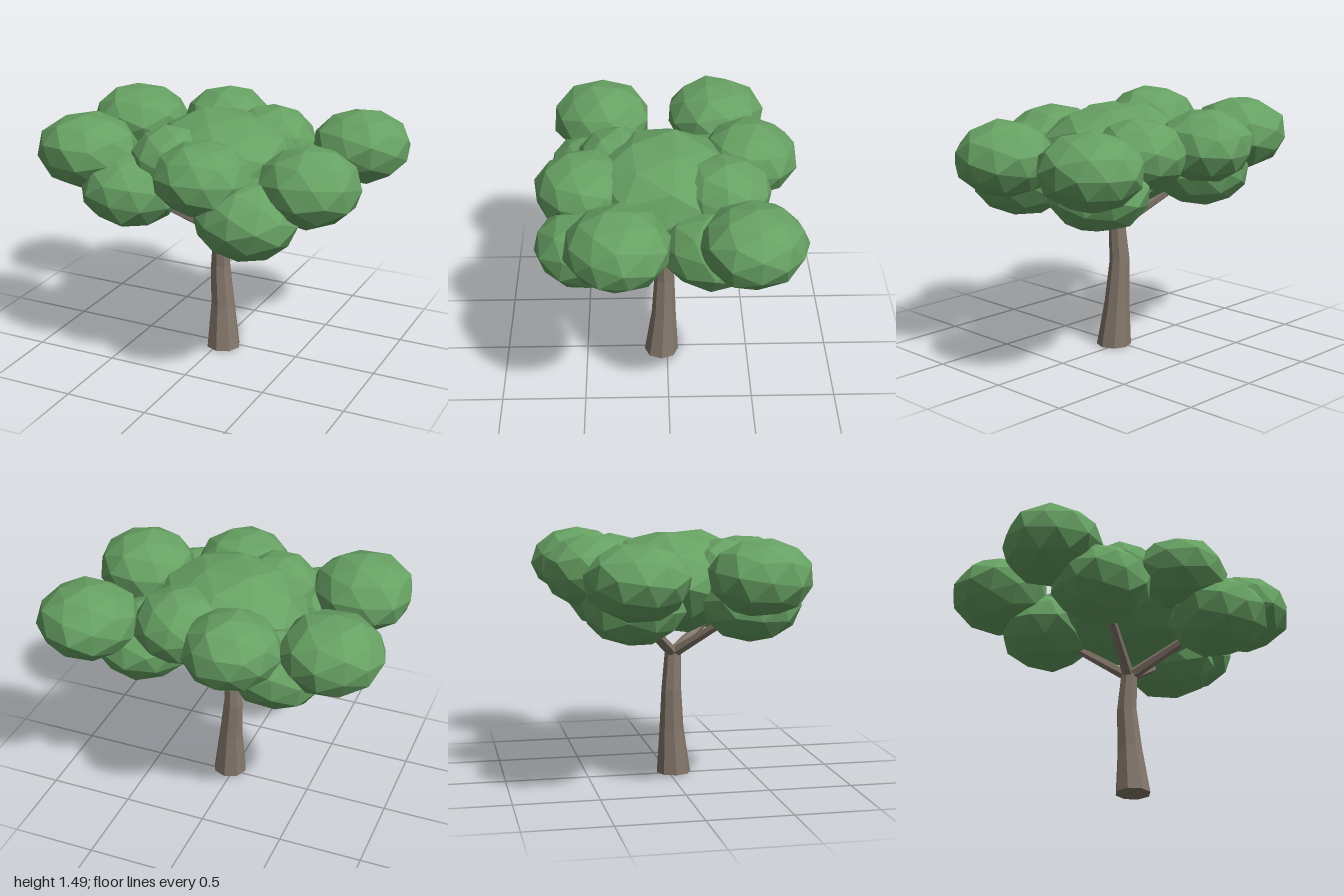
import * as THREE from 'three';

const leafMat = new THREE.MeshStandardMaterial({ color: 0x67a163, flatShading: true });
const barkMat = new THREE.MeshStandardMaterial({ color: 0x85786c, flatShading: true });

// Leaf clumps: name, centre x y z, horizontal radius, vertical radius
const CLUMPS = [
  ['centerClump', 0.01, 1.19, 0.02, 0.47, 0.305],
  ['leftFrontClump', 0.67, 1.215, 0.28, 0.3, 0.225],
  ['leftBackClump', 0.705, 1.245, -0.455, 0.3, 0.22],
  ['rightFrontClump', -0.675, 1.275, 0.385, 0.3, 0.22],
  ['rightBackClump', -0.71, 1.27, -0.315, 0.3, 0.22],
  ['frontClump', 0.11, 1.24, 0.48, 0.285, 0.21],
  ['backRightClump', -0.19, 1.275, -0.49, 0.285, 0.215],
  ['backLeftClump', 0.18, 1.25, -0.32, 0.28, 0.21],
  ['innerFrontClump', -0.18, 1.24, 0.29, 0.25, 0.215],
  ['lowFrontLeftClump', 0.375, 1.035, 0.465, 0.3, 0.225],
  ['lowFrontRightClump', -0.38, 1.085, 0.41, 0.295, 0.22],
  ['lowBackLeftClump', 0.45, 1.06, -0.255, 0.3, 0.22],
  ['lowBackRightClump', -0.39, 1.08, -0.285, 0.295, 0.215],
];

// Faceted, slightly uneven, flattened ball
function leafClump([name, x, y, z, r, h], i) {
  const geo = new THREE.IcosahedronGeometry(1, 1);
  geo.rotateX(i * 1.3 + 0.4).rotateY(i * 2.1).rotateZ(i * 0.7);
  const p = geo.attributes.position;
  const v = new THREE.Vector3();
  for (let k = 0; k < p.count; k++) {
    v.fromBufferAttribute(p, k);
    const bump = 1 + 0.035 * Math.sin(v.x * 5 + i) * Math.cos(v.y * 4 + v.z * 5 + i * 2);
    p.setXYZ(k, v.x * r * bump, v.y * h * bump, v.z * r * bump);
  }
  geo.computeVertexNormals();
  const mesh = new THREE.Mesh(geo, leafMat);
  mesh.name = name;
  mesh.position.set(x, y, z);
  return mesh;
}

// Trunk with a flared foot and a gentle bend: rings of [y, x, z, radius]
function trunk() {
  const rings = [
    [0, 0.03, 0.035, 0.105],
    [0.28, 0.018, 0.02, 0.075],
    [0.53, 0, 0.015, 0.061],
    [0.75, 0.01, 0.027, 0.051],
  ];
  const geo = new THREE.CylinderGeometry(1, 1, 3, 8, 3);
  const p = geo.attributes.position;
  for (let k = 0; k < p.count; k++) {
    const [y, x, z, r] = rings[Math.round(p.getY(k) + 1.5)];
    p.setXYZ(k, x + p.getX(k) * r, y, z + p.getZ(k) * r);
  }
  geo.computeVertexNormals();
  const mesh = new THREE.Mesh(geo, barkMat);
  mesh.name = 'trunk';
  return mesh;
}

// Tapered limb from the fork to a low clump
function branch(name, end) {
  const start = new THREE.Vector3(0.01, 0.745, 0.027);
  const dir = end.clone().sub(start);
  const geo = new THREE.CylinderGeometry(0.02, 0.036, dir.length(), 6);
  const mesh = new THREE.Mesh(geo, barkMat);
  mesh.name = name;
  mesh.position.copy(start).addScaledVector(dir, 0.5);
  mesh.quaternion.setFromUnitVectors(new THREE.Vector3(0, 1, 0), dir.normalize());
  return mesh;
}

export function createModel() {
  const tree = new THREE.Group();
  tree.name = 'tree';
  tree.add(trunk());

  const crown = new THREE.Group();
  crown.name = 'crown';
  CLUMPS.forEach((c, i) => crown.add(leafClump(c, i)));
  tree.add(crown);

  // One branch for each low clump
  for (const [name, x, y, z] of CLUMPS.slice(-4)) {
    tree.add(branch(name.replace('low', 'branch').replace('Clump', ''), new THREE.Vector3(x, y, z)));
  }
  return tree;
}
